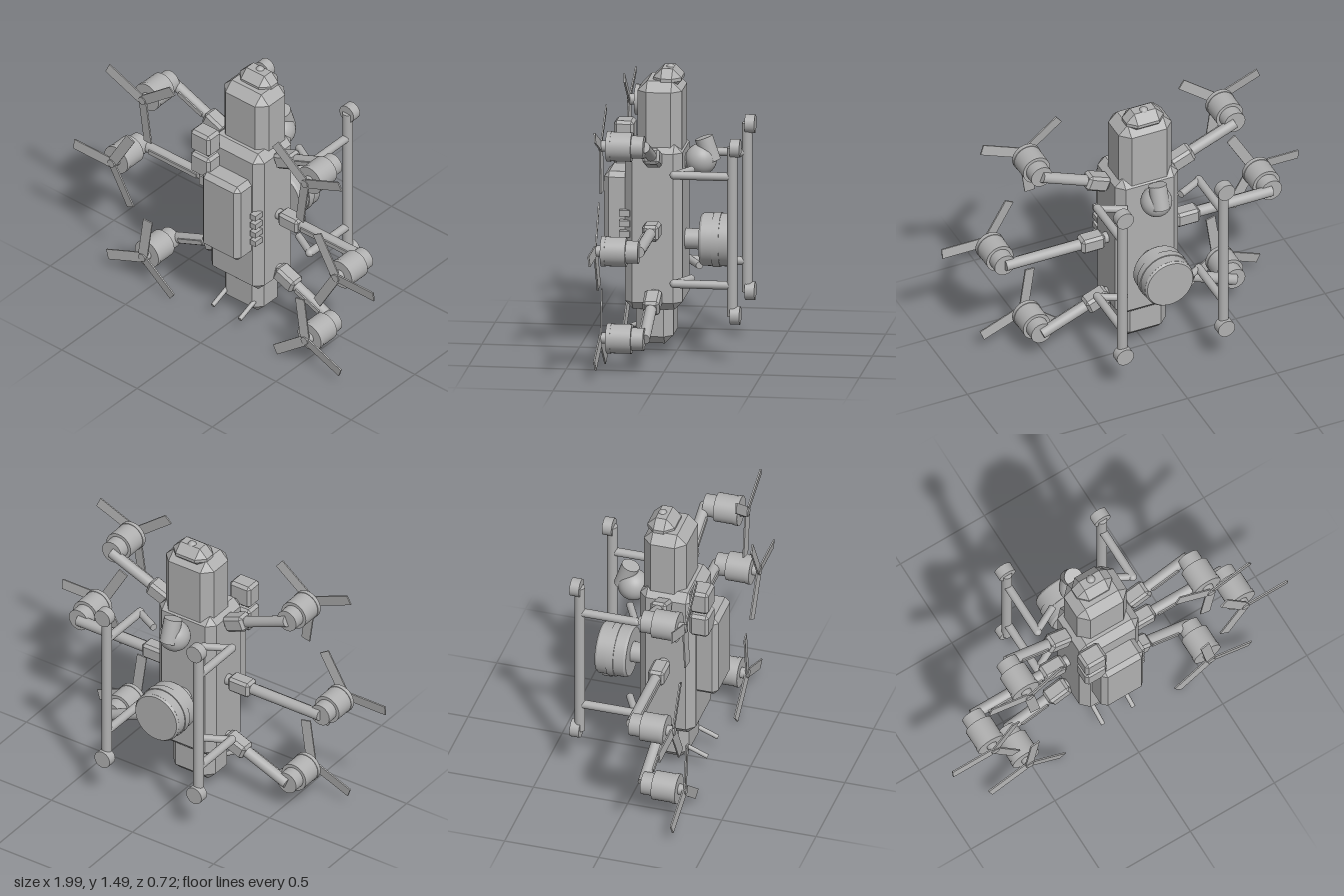
import * as THREE from 'three';
import { ConvexGeometry } from 'three/addons/geometries/ConvexGeometry.js';

const grey = new THREE.MeshStandardMaterial({ color: 0xb0b0b0 });
grey.name = 'plain grey';

const V = (x, y, z) => new THREE.Vector3(x, y, z);

function add(parent, name, geometry) {
  const mesh = new THREE.Mesh(geometry, grey);
  mesh.name = name;
  parent.add(mesh);
  return mesh;
}

// Box with every edge and corner cut by c, given by its min and max corners
function chamferBox(parent, name, min, max, c) {
  const h = min.map((m, i) => (max[i] - m) / 2);
  const points = [];
  for (let axis = 0; axis < 3; axis++)
    for (const sx of [-1, 1]) for (const sy of [-1, 1]) for (const sz of [-1, 1]) {
      const p = h.map((v, i) => (i === axis ? v : v - c));
      points.push(V(p[0] * sx, p[1] * sy, p[2] * sz));
    }
  const mesh = add(parent, name, new ConvexGeometry(points));
  mesh.position.set(...min.map((m, i) => (m + max[i]) / 2));
  return mesh;
}

// Straight round rod from a to b
function rod(parent, name, a, b, r, sides = 20) {
  const dir = b.clone().sub(a);
  const mesh = add(parent, name, new THREE.CylinderGeometry(r, r, dir.length(), sides));
  mesh.position.copy(a).add(b).multiplyScalar(0.5);
  mesh.quaternion.setFromUnitVectors(V(0, 1, 0), dir.normalize());
  return mesh;
}

// Stack of discs along z: rows of [z start, z end, radius]
function stack(parent, name, x, y, rows, sides = 32) {
  for (const [z0, z1, r] of rows) rod(parent, name, V(x, y, z0), V(x, y, z1), r, sides);
}

// Arm with bracket, motor and three-bladed rotor, built along its own +x
function rotorArm(name, x, y, angle, length) {
  const arm = new THREE.Group();
  arm.name = name;
  arm.position.set(x, y, 0.095);
  arm.rotation.z = angle;
  chamferBox(arm, 'armBracket', [-0.065, -0.042, -0.043], [0.065, 0.042, 0.043], 0.014);
  rod(arm, 'armTube', V(-0.12, 0, 0), V(length, 0, 0), 0.029);
  const strip = add(arm, 'armStrip', new THREE.BoxGeometry(length - 0.16, 0.024, 0.012));
  strip.position.set(length / 2, 0, 0.028);
  stack(arm, 'motor', length, 0, [
    [0, 0.07, 0.058], [0.062, 0.168, 0.075], [0.168, 0.19, 0.078], [0.19, 0.22, 0.028],
  ]);
  stack(arm, 'rotorHub', length, 0, [[0.21, 0.232, 0.022]], 16);
  for (let i = 0; i < 3; i++) {
    const pivot = new THREE.Group();
    pivot.name = 'bladePivot';
    pivot.position.set(length, 0, 0.222);
    pivot.rotation.z = (i * Math.PI * 2) / 3;
    const blade = add(pivot, 'rotorBlade', new THREE.BoxGeometry(0.235, 0.054, 0.008));
    blade.position.x = 0.133;
    blade.rotation.x = 0.12;
    arm.add(pivot);
  }
  return arm;
}

export function createModel() {
  const model = new THREE.Group();
  model.name = 'sixRotorDrone';

  // Hull
  chamferBox(model, 'body', [-0.176, 0.25, -0.045], [0.176, 1.11, 0.25], 0.042);
  chamferBox(model, 'noseSection', [-0.148, 1.02, -0.037], [0.148, 1.43, 0.19], 0.05);
  chamferBox(model, 'tailSection', [-0.13, 0.063, 0.008], [0.13, 0.34, 0.2], 0.043);
  chamferBox(model, 'noseCap', [-0.104, 1.38, -0.03], [0.104, 1.487, 0.115], 0.045);
  chamferBox(model, 'noseLatch', [-0.07, 1.422, 0.01], [0.07, 1.442, 0.085], 0.005);
  add(model, 'noseKnob', new THREE.SphereGeometry(0.024, 20, 14)).position.set(0, 1.477, 0.033);

  // Fittings on the front face
  chamferBox(model, 'batteryPack', [-0.125, 0.49, 0.22], [0.127, 0.955, 0.36], 0.026);
  for (const y of [0.905, 1.045])
    chamferBox(model, 'equipmentBox', [-0.212, y, 0.235], [-0.085, y + 0.127, 0.338], 0.015);
  for (let i = 0; i < 4; i++) {
    const fin = add(model, 'coolingFin', new THREE.BoxGeometry(0.036, 0.032, 0.055));
    fin.position.set(0.155, 0.59 + i * 0.054, 0.247);
  }

  for (const s of [-1, 1]) {
    // Three arms on each side
    const side = new THREE.Group();
    side.name = s > 0 ? 'leftArms' : 'rightArms';
    side.rotation.z = s > 0 ? 0 : Math.PI;
    side.position.y = 0.685;
    const tilt = 0.384;
    side.add(
      rotorArm('middleArm', 0.265, 0, 0, 0.48),
      rotorArm('outerArm', 0.236, 0.377, tilt, 0.328),
      rotorArm('outerArm', 0.236, -0.377, -tilt, 0.328),
    );
    model.add(side);

    // Landing skid with braces and round feet
    const x = 0.283 * s;
    rod(model, 'skidRail', V(x, 0.26, -0.32), V(x, 1.14, -0.32), 0.027);
    for (const y of [0.265, 1.135]) stack(model, 'skidFoot', x, y, [[-0.312, -0.362, 0.047]]);
    for (const y of [0.42, 0.985]) {
      rod(model, 'skidStrut', V(x, y, -0.02), V(x, y, -0.32), 0.022);
      rod(model, 'skidBrace', V(x, y, -0.025), V(0.148 * s, y, -0.095), 0.019);
      add(model, 'strutElbow', new THREE.SphereGeometry(0.022, 16, 12)).position.set(x, y, -0.022);
    }

    // Tail antenna
    rod(model, 'tailAntenna', V(0.09 * s, 0.145, 0.16), V(0.09 * s, 0.088, 0.3), 0.012, 12);
  }

  // Round sensor drum on the back
  stack(model, 'sensorDrum', 0, 0.592, [[-0.03, -0.13, 0.053], [-0.19, -0.228, 0.14]], 48);
  const drum = add(model, 'sensorDrum', new THREE.CylinderGeometry(0.135, 0.135, 0.142, 48));
  drum.rotation.x = Math.PI / 2;
  drum.position.set(0, 0.592, -0.208);
  for (const [z, a, b] of [[-0.131, 0.135, 0.127], [-0.284, 0.127, 0.135]]) {
    const rim = add(model, 'drumRim', new THREE.CylinderGeometry(b, a, 0.012, 48));
    rim.rotation.x = Math.PI / 2;
    rim.position.set(0, 0.592, z);
    if (z === -0.131) rim.scale.y = 1;
  }

  // Ball camera with tilted lens barrel
  add(model, 'cameraBall', new THREE.SphereGeometry(0.081, 32, 24)).position.set(0, 1.008, -0.122);
  stack(model, 'cameraMount', 0, 1.0, [[-0.03, -0.08, 0.04]]);
  rod(model, 'cameraLens', V(0, 1.0, -0.178), V(0, 1.122, -0.136), 0.047, 28);

  return model;
}
